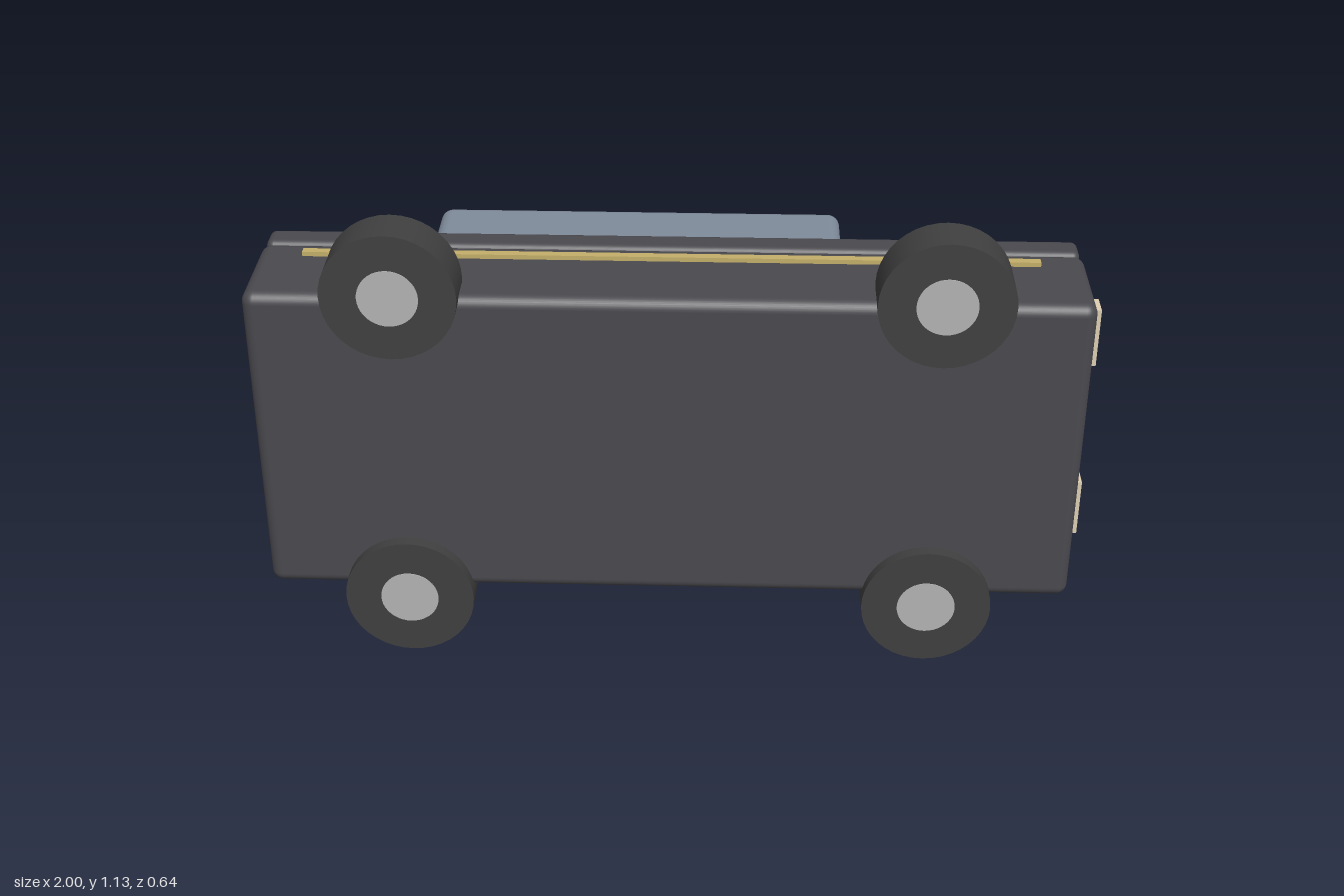
import * as THREE from 'three';
import { RoundedBoxGeometry } from 'three/addons/geometries/RoundedBoxGeometry.js';

const mat = (color) => new THREE.MeshStandardMaterial({ color });
const paint = mat(0x4a494e), glass = mat(0x808c9c), rubber = mat(0x404040), metal = mat(0xb3b3b3);
const lamp = mat(0xdfcfb2), red = mat(0x963c48), gold = mat(0xc4b06a);

export function createModel() {
  const car = new THREE.Group();
  car.name = 'car';

  // Box from its lower and upper limits; rounded when a radius is given
  function box(name, material, [x0, x1], [y0, y1], [z0, z1], radius = 0) {
    const size = [x1 - x0, y1 - y0, z1 - z0];
    const geometry = radius ? new RoundedBoxGeometry(...size, 4, radius) : new THREE.BoxGeometry(...size);
    const mesh = new THREE.Mesh(geometry, material);
    mesh.name = name;
    mesh.position.set((x0 + x1) / 2, (y0 + y1) / 2, (z0 + z1) / 2);
    car.add(mesh);
  }

  // Disc-like cylinder with its axis along z
  function disc(name, material, radius, depth) {
    const mesh = new THREE.Mesh(new THREE.CylinderGeometry(radius, radius, depth, 40).rotateX(Math.PI / 2), material);
    mesh.name = name;
    return mesh;
  }

  // Car body lying on its side: the roof faces -z, the wheels +z
  box('lowerBody', paint, [-0.974, 0.966], [0.169, 0.967], [0.018, 0.29], 0.028);
  box('upperBody', paint, [-0.964, 0.956], [0.163, 0.973], [-0.041, 0.034], 0.018);
  box('cabin', glass, [-0.587, 0.405], [0.217, 0.918], [-0.295, -0.03], 0.03);
  box('roof', paint, [-0.5, 0.318], [0.247, 0.891], [-0.322, -0.28], 0.012);

  // Lights at both ends, one pair each
  for (const [y0, y1] of [[0.257, 0.405], [0.732, 0.88]]) {
    box('headlight', lamp, [0.955, 1], [y0, y1], [0.08, 0.138]);
    box('tailLight', red, [-1, -0.965], [y0, y1], [0.07, 0.118]);
  }

  // Trim strips along both flanks
  box('trimStrip', gold, [-0.865, 0.857], [0.158, 0.172], [0.072, 0.092]);
  box('trimStrip', gold, [-0.865, 0.857], [0.964, 0.978], [0.072, 0.092]);

  // Four wheels
  for (const x of [-0.631, 0.623]) {
    for (const y of [0.156, 0.979]) {
      const wheel = new THREE.Group();
      wheel.name = 'wheel';
      wheel.position.set(x, y, 0.265);
      wheel.add(disc('tyre', rubber, 0.156, 0.11), disc('hub', metal, 0.07, 0.114));
      car.add(wheel);
    }
  }
  return car;
}
